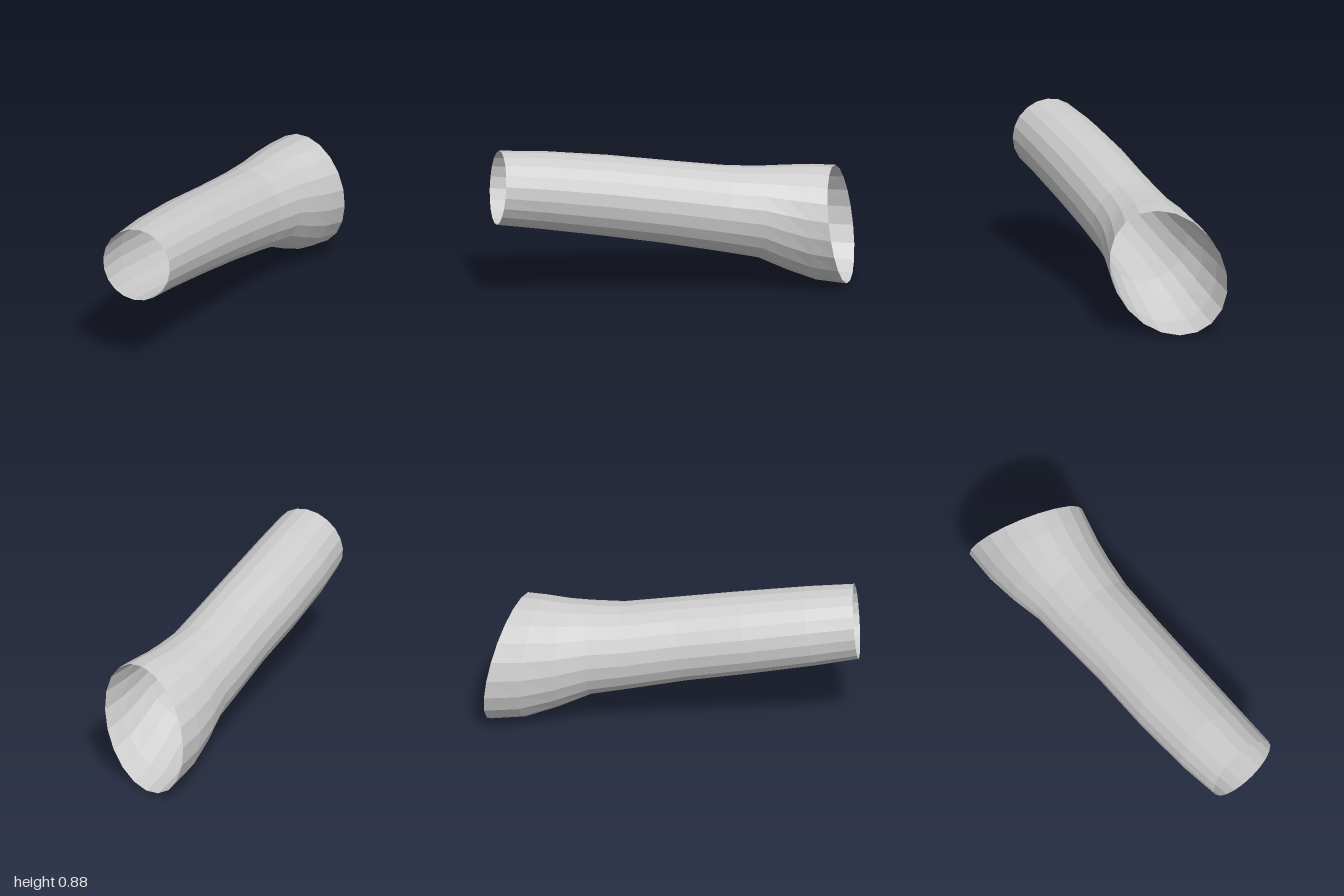
import * as THREE from 'three';

const SIDES = 20;

// Elliptical cross-sections along the sleeve:
// centre x, y, z, then the upward half-axis x, y, z, then the sideways half-axis x, z
const SECTIONS = [
  [-0.935, 0.675, 0.335, 0.02, 0.21, 0, 0.065, 0.2],
  [-0.7, 0.644, 0.25, 0.035, 0.219, 0, 0.06, 0.216],
  [-0.35, 0.59, 0.14, 0.035, 0.228, 0, 0.065, 0.223],
  [0, 0.531, 0.041, 0.035, 0.234, 0, 0.065, 0.222],
  [0.3, 0.476, -0.048, 0.035, 0.244, 0, 0.065, 0.231],
  [0.5, 0.448, -0.097, 0.02, 0.263, 0.01, 0.06, 0.249],
  [0.65, 0.406, -0.14, 0, 0.306, 0.025, 0.04, 0.28],
  [0.8, 0.373, -0.175, -0.015, 0.342, 0.045, 0.01, 0.308],
  [0.95, 0.356, -0.2, -0.045, 0.353, 0.06, -0.02, 0.327],
];

// Joins the cross-sections into an open faceted tube
function loft(sections) {
  const positions = [];
  const index = [];
  sections.forEach(([cx, cy, cz, vx, vy, vz, ux, uz], i) => {
    for (let j = 0; j < SIDES; j++) {
      const t = (j / SIDES) * Math.PI * 2;
      const c = Math.cos(t), s = Math.sin(t);
      positions.push(cx + ux * c + vx * s, cy + vy * s, cz + uz * c + vz * s);
      if (i === sections.length - 1) continue;
      const a = i * SIDES + j;
      const b = i * SIDES + ((j + 1) % SIDES);
      index.push(a, a + SIDES, b, b, a + SIDES, b + SIDES);
    }
  });
  const geometry = new THREE.BufferGeometry();
  geometry.setAttribute('position', new THREE.Float32BufferAttribute(positions, 3));
  geometry.setIndex(index);
  const faceted = geometry.toNonIndexed();
  faceted.computeVertexNormals();
  return faceted;
}

export function createModel() {
  const group = new THREE.Group();
  group.name = 'flaredSleeve';

  const grey = new THREE.MeshStandardMaterial({
    color: 0xcccccc,
    flatShading: true,
    side: THREE.DoubleSide,
  });
  grey.name = 'light grey';

  // Thin open sleeve, narrow at one end and flared at the other
  const sleeve = new THREE.Mesh(loft(SECTIONS), grey);
  sleeve.name = 'sleeve';
  group.add(sleeve);

  return group;
}
